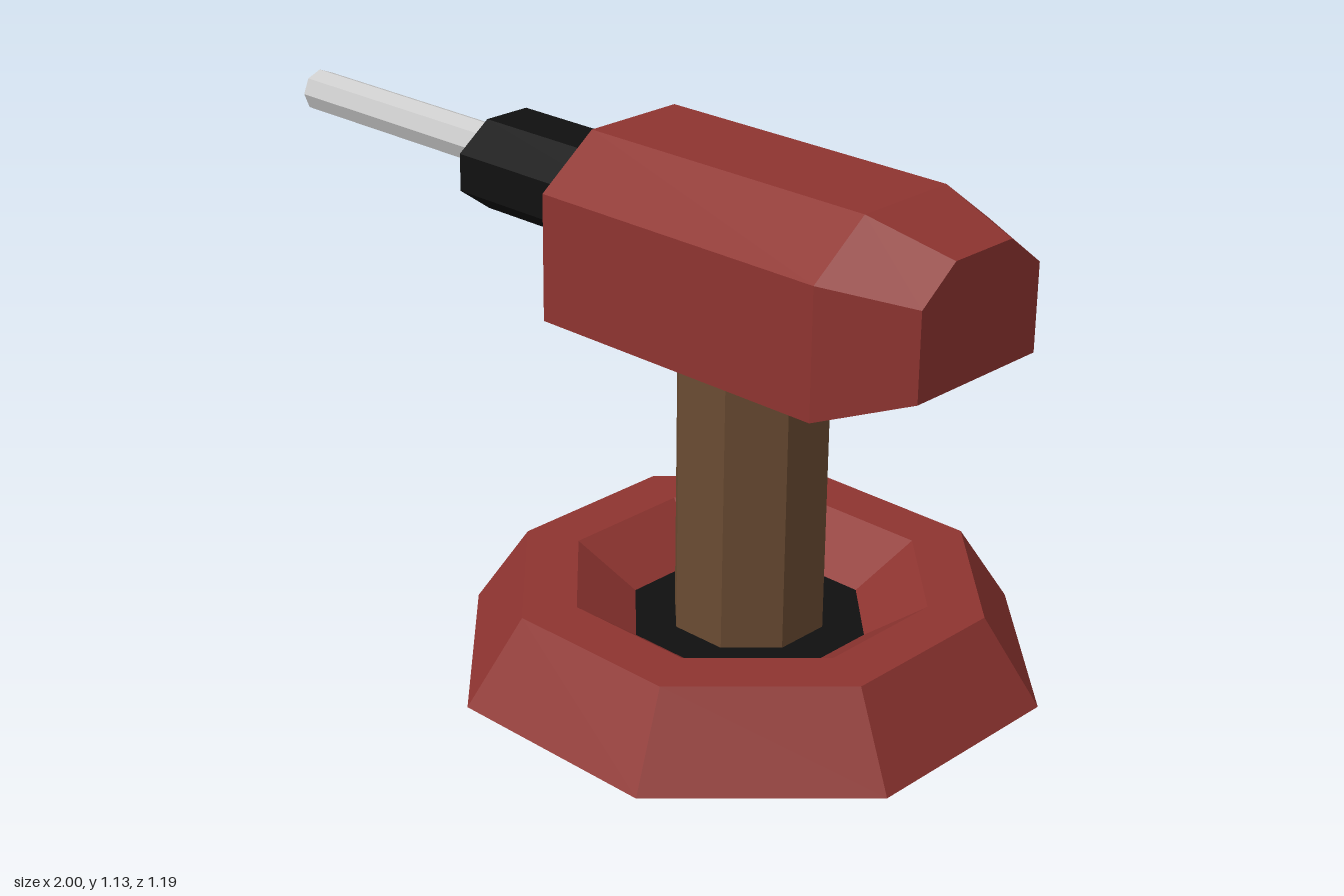
import * as THREE from 'three';

const RED = 0x8e3430, BROWN = 0x6a4b32, BLACK = 0x101010, GREY = 0xcccccc;
const CX = 0.4; // axis of base and post
const OCT = 1 / Math.cos(Math.PI / 8); // flat-to-flat half width -> corner radius

function part(name, geometry, color, side = THREE.FrontSide) {
  const mesh = new THREE.Mesh(geometry, new THREE.MeshStandardMaterial({ color, flatShading: true, side }));
  mesh.name = name;
  return mesh;
}

// Eight-sided ring from a profile of [half width, height]
function octagonLathe(profile) {
  const points = profile.map(([r, y]) => new THREE.Vector2(r * OCT, y));
  return new THREE.LatheGeometry(points, 8, Math.PI / 8).translate(CX, 0, 0);
}

// Eight-sided bar along x
function bar(x0, x1, halfY, halfZ, y, z, turn) {
  return new THREE.CylinderGeometry(1, 1, x1 - x0, 8, 1, false, turn)
    .rotateZ(Math.PI / 2).scale(1, halfY, halfZ).translate((x0 + x1) / 2, y, z);
}

// Skin a list of rings with equal point counts, capped at both ends
function loft(rings) {
  const n = rings[0].length, index = [];
  const last = (rings.length - 1) * n;
  for (let k = 0; k < rings.length - 1; k++) {
    for (let i = 0; i < n; i++) {
      const a = k * n + i, b = k * n + (i + 1) % n;
      index.push(a, b, b + n, a, b + n, a + n);
    }
  }
  for (let i = 1; i < n - 1; i++) {
    index.push(0, i + 1, i);
    index.push(last, last + i, last + i + 1);
  }
  const g = new THREE.BufferGeometry();
  g.setAttribute('position', new THREE.Float32BufferAttribute(rings.flat(2), 3));
  g.setIndex(index);
  g.computeVertexNormals();
  return g;
}

// Housing cross-section: flat bottom, upright sides, bevelled top
function section(x, wide, narrow, bottom, shoulder, top) {
  return [
    [x, bottom, wide], [x, bottom, -wide], [x, shoulder, -wide],
    [x, top, -narrow], [x, top, narrow], [x, shoulder, wide],
  ];
}

export function createModel() {
  const model = new THREE.Group();
  model.name = 'turret';

  // Hollow base shell with a sunken funnel
  model.add(part('base', octagonLathe([[0.595, 0], [0.48, 0.185], [0.367, 0.185], [0.242, 0.09]]), RED, THREE.DoubleSide));
  model.add(part('baseCollar', octagonLathe([[0.242, 0.09], [0.156, 0.09]]), BLACK, THREE.DoubleSide));

  // Open octagonal post
  const post = new THREE.CylinderGeometry(0.156 * OCT, 0.156 * OCT, 0.66, 8, 1, true, Math.PI / 8);
  model.add(part('post', post.translate(CX, 0.42, 0), BROWN, THREE.DoubleSide));

  // Housing: recess floor, recess mouth, rim, body, tapered end
  model.add(part('housing', loft([
    section(0.25, 0.215, 0.1, 0.785, 1.005, 1.09),
    section(0.05, 0.215, 0.1, 0.785, 1.005, 1.09),
    section(0.05, 0.265, 0.123, 0.745, 1.025, 1.13),
    section(0.78, 0.265, 0.123, 0.745, 1.025, 1.13),
    section(0.97, 0.18, 0.085, 0.815, 1.005, 1.077),
  ]), RED));

  // Barrel sleeve and barrel
  model.add(part('barrelSleeve', bar(-0.345, 0.25, 0.103 * OCT, 0.141 * OCT, 0.945, -0.003, Math.PI / 8), BLACK));
  model.add(part('barrel', bar(-1, -0.33, 0.05, 0.05, 0.96, -0.004, 0), GREY));

  return model;
}
